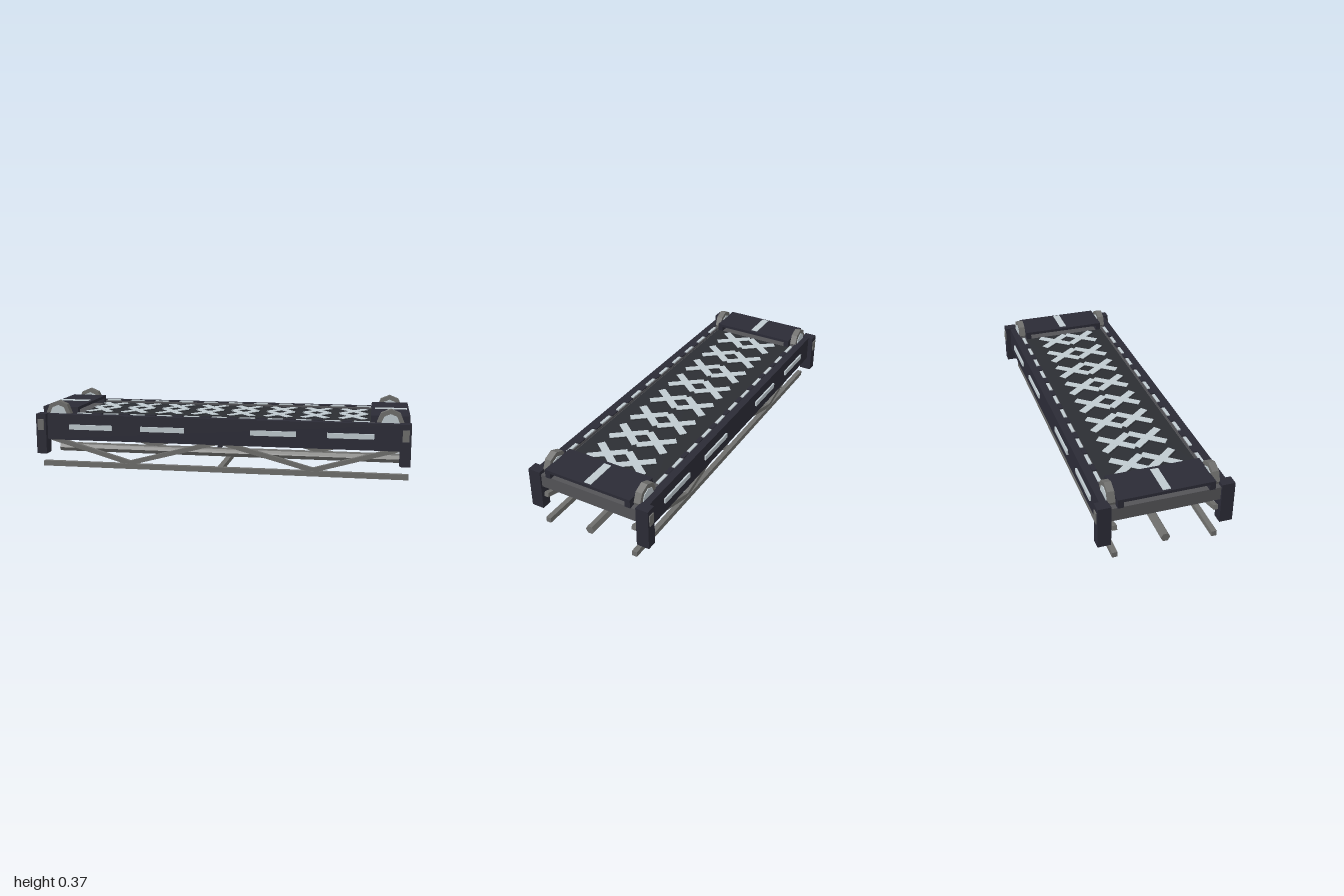
import * as THREE from 'three';

const material = (name, color, extra = {}) => {
  const m = new THREE.MeshStandardMaterial({ color, flatShading: true, ...extra });
  m.name = name;
  return m;
};

export function createModel() {
  const navy = material('navy hull', 0x2b2b36);
  const deckDark = material('dark deck', 0x2c2e33);
  const slabGrey = material('slab grey', 0x535357);
  const steel = material('steel', 0x6e6e6c);
  const pale = material('pale panel', 0xbfcacf);

  const model = new THREE.Group();
  model.name = 'trussBridge';

  const add = (name, geometry, mat, x = 0, y = 0, z = 0) => {
    const mesh = new THREE.Mesh(geometry, mat);
    mesh.name = name;
    mesh.position.set(x, y, z);
    model.add(mesh);
    return mesh;
  };
  // Box given by its limits on each axis
  const box = (name, mat, x0, x1, y0, y1, z0, z1) =>
    add(name, new THREE.BoxGeometry(x1 - x0, y1 - y0, z1 - z0), mat,
      (x0 + x1) / 2, (y0 + y1) / 2, (z0 + z1) / 2);
  // Box mirrored to both sides in z
  const sideBox = (name, mat, x0, x1, y0, y1, z0, z1) => {
    box(name, mat, x0, x1, y0, y1, z0, z1);
    box(name, mat, x0, x1, y0, y1, -z1, -z0);
  };

  // Main slab and dark walkway
  box('slab', slabGrey, -0.99, 0.99, 0.215, 0.285, -0.275, 0.275);
  box('walkway', deckDark, -0.795, 0.795, 0.284, 0.288, -0.245, 0.245);

  // Side girders with pale strips
  sideBox('girder', navy, -0.985, 0.985, 0.16, 0.3, 0.274, 0.315);
  for (const x of [-0.7, -0.3, 0.295, 0.695]) {
    sideBox('girderStrip', pale, x - 0.12, x + 0.12, 0.219, 0.246, 0.315, 0.324);
  }

  // Kerb rails with dashes
  sideBox('kerb', slabGrey, -0.82, 0.82, 0.285, 0.297, 0.25, 0.272);
  for (let i = 0; i < 11; i++) {
    const x = (i - 5) * 0.15;
    sideBox('kerbDash', pale, x - 0.04, x + 0.04, 0.297, 0.303, 0.256, 0.272);
    if (i < 10) sideBox('kerbBlock', navy, x + 0.05, x + 0.1, 0.297, 0.304, 0.252, 0.274);
  }

  // Crossed lattice bars floating above the walkway
  for (let i = 0; i < 8; i++) {
    for (const z of [-0.083, 0.083]) {
      for (const turn of [-1, 1]) {
        const x = -0.7 + i * 0.2;
        add('latticeBase', new THREE.BoxGeometry(0.2, 0.003, 0.052), deckDark, x, 0.295, z)
          .rotation.y = turn * 0.9;
        add('latticeBar', new THREE.BoxGeometry(0.205, 0.003, 0.04), pale, x, 0.298 + turn * 0.0002, z)
          .rotation.y = turn * 0.9;
      }
    }
  }

  for (const s of [-1, 1]) {
    const span = (a, b) => (s > 0 ? [a, b] : [-b, -a]);

    // Raised end platform with two legs and a centre stripe
    box('endPlatform', navy, ...span(0.795, 0.995), 0.315, 0.331, -0.242, 0.242);
    sideBox('platformLeg', navy, ...span(0.795, 0.995), 0.285, 0.315, 0.213, 0.242);
    box('platformStripe', pale, ...span(0.815, 0.985), 0.331, 0.334, -0.02, 0.02);

    // Corner posts with small plates
    sideBox('cornerPost', navy, ...span(0.945, 1), 0.085, 0.303, 0.274, 0.341);
    sideBox('postPlate', steel, ...span(0.956, 0.99), 0.215, 0.275, 0.341, 0.346);

    // Eight-sided wheels with pale hubs
    for (const side of [-1, 1]) {
      const wheel = new THREE.CylinderGeometry(0.07, 0.07, 0.035, 8).rotateX(Math.PI / 2);
      add('wheel', wheel, steel, s * 0.895, 0.3, side * 0.26);
      const hub = new THREE.CylinderGeometry(0.046, 0.046, 0.042, 8).rotateX(Math.PI / 2);
      add('wheelHub', hub, pale, s * 0.895, 0.3, side * 0.26);
    }
  }

  // Lower truss: chords and zigzag braces
  sideBox('lowerChord', steel, -0.995, 0.995, 0, 0.028, 0.241, 0.268);
  const nodes = [[-0.99, 0.172], [-0.5, 0.032], [0, 0.165], [0.5, 0.032], [0.99, 0.172]];
  for (let i = 0; i < 4; i++) {
    const [x0, y0] = nodes[i], [x1, y1] = nodes[i + 1];
    for (const side of [-1, 1]) {
      add('brace', new THREE.BoxGeometry(Math.hypot(x1 - x0, y1 - y0), 0.024, 0.023), steel,
        (x0 + x1) / 2, (y0 + y1) / 2, side * 0.254).rotation.z = Math.atan2(y1 - y0, x1 - x0);
    }
  }

  // Middle cross members and hexagonal pipe
  box('lowerCrossBar', steel, -0.014, 0.014, 0.001, 0.027, -0.25, 0.25);
  box('upperCrossBeam', navy, -0.012, 0.012, 0.135, 0.193, -0.258, 0.258);
  const pipe = new THREE.CylinderGeometry(0.024, 0.024, 1.99, 6).rotateZ(Math.PI / 2);
  add('centrePipe', pipe, steel, 0, 0.055, 0);

  return model;
}
